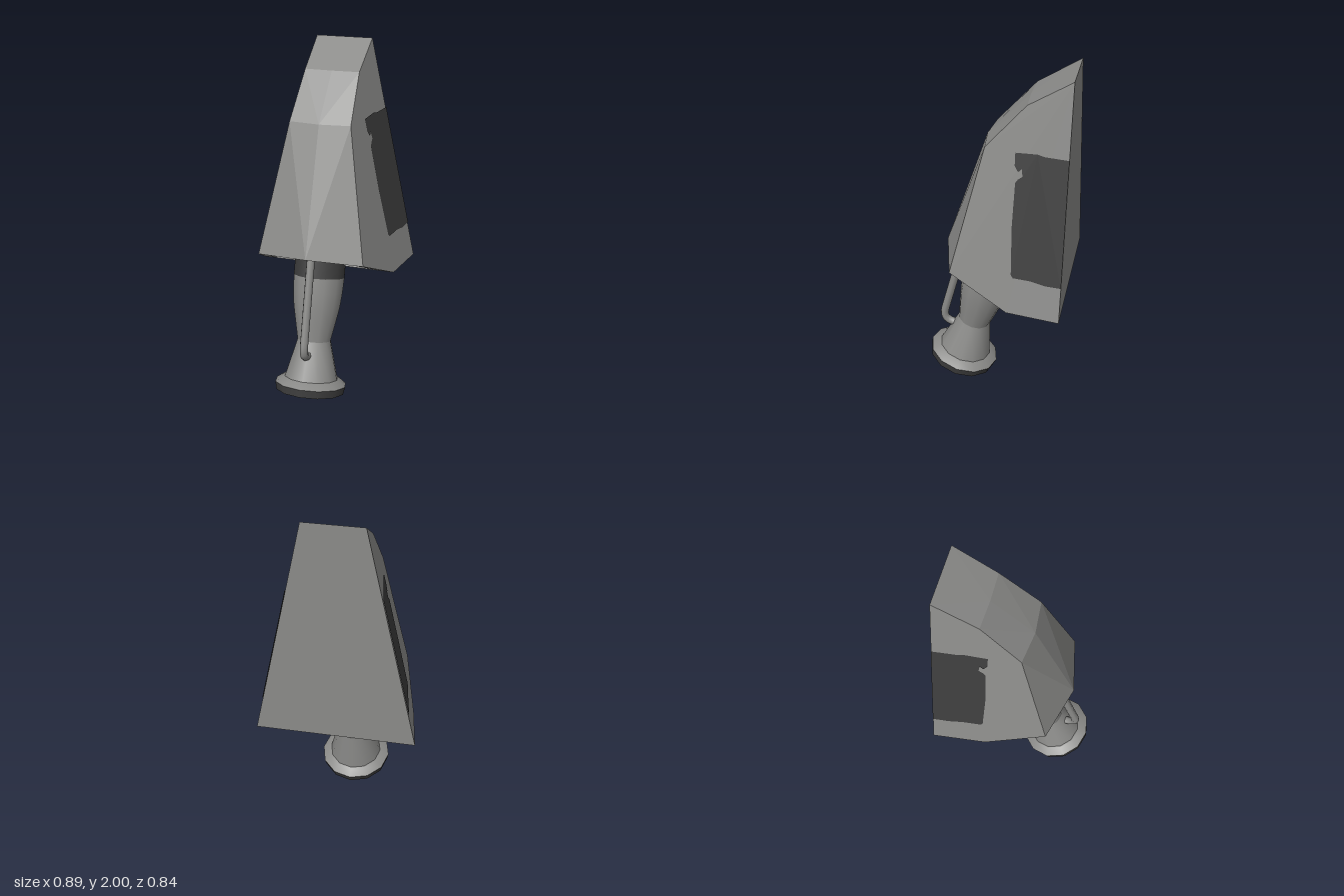
import * as THREE from 'three';

const grey = new THREE.MeshStandardMaterial({ color: 0x8a8a88 });
grey.name = 'metal grey';
const dark = new THREE.MeshStandardMaterial({ color: 0x3c3c3c, side: THREE.DoubleSide });
dark.name = 'dark rubber';

const V = (x, y, z) => new THREE.Vector3(x, y, z);
// slanted side plane of the housing
const sideX = (y, z) => 0.165 + 0.217 * (2 - y) - 0.165 * (z + 0.42);
const side = (y, z, s) => V(s * sideX(y, z), y, z);

// Flat-shaded mesh from convex faces, each wound away from (or towards) a reference point
function facetMesh(name, faces, ref, sign, material) {
  const pos = [];
  for (const f of faces) {
    for (let i = 1; i < f.length - 1; i++) {
      const [a, b, c] = [f[0], f[i], f[i + 1]];
      const n = b.clone().sub(a).cross(c.clone().sub(a));
      const out = n.dot(a.clone().sub(ref)) * sign > 0;
      for (const p of out ? [a, b, c] : [a, c, b]) pos.push(p.x, p.y, p.z);
    }
  }
  const g = new THREE.BufferGeometry();
  g.setAttribute('position', new THREE.Float32BufferAttribute(pos, 3));
  g.computeVertexNormals();
  const m = new THREE.Mesh(g, material);
  m.name = name;
  return m;
}

function createHousing() {
  const group = new THREE.Group();
  group.name = 'housing';
  // [y, z] of the front strip's edge and of its centre line, top to bottom
  const edge = [[2, -0.42], [1.85, -0.18], [1.6, 0.04], [0.865, 0.22]];
  const mid = [[2, -0.42], [1.85, -0.175], [1.6, 0.06], [0.895, 0.3]];
  const bend = [0.705, -0.12], back = [0.71, -0.42];
  const faces = [];
  for (const s of [-1, 1]) {
    for (let i = 0; i < 3; i++) {
      const a = side(...edge[i], s), b = side(...edge[i + 1], s);
      const c = V(0, ...mid[i + 1]), d = V(0, ...mid[i]);
      faces.push(i ? [a, b, c, d] : [a, b, c], [a, c, d]);
    }
    faces.push([...edge, bend, back].map(p => side(...p, s)));
  }
  // back wall and flat rear part of the underside
  faces.push([side(...edge[0], -1), side(...edge[0], 1), side(...back, 1), side(...back, -1)]);
  faces.push([side(...back, -1), side(...back, 1), side(...bend, 1), side(...bend, -1)]);

  // sloping underside: rim around a recessed opening
  const outer = [side(...bend, -1), side(...edge[3], -1), V(0, ...mid[3]), side(...edge[3], 1), side(...bend, 1)];
  const inner = [V(-0.315, 0.719, -0.09), V(-0.245, 0.858, 0.205), V(0, 0.88, 0.265),
    V(0.245, 0.858, 0.205), V(0.315, 0.719, -0.09)];
  const top = inner.map(p => p.clone().add(V(0, 0.117, -0.055)));
  const recess = [top];
  for (let i = 0; i < 5; i++) {
    const j = (i + 1) % 5;
    faces.push([outer[i], outer[j], inner[j], inner[i]]);
    recess.push([inner[i], inner[j], top[j], top[i]]);
  }
  group.add(facetMesh('housingShell', faces, V(0, 1.2, -0.15), 1, grey));
  group.add(facetMesh('housingRecess', recess, V(0, 0.85, 0.04), -1, grey));

  // dark patches with worn edges, as [z, y]
  const outline = [[-0.42, 1.605], [-0.29, 1.603], [-0.25, 1.61], [-0.13, 1.6], [-0.13, 1.53],
    [-0.15, 1.5], [-0.17, 1.52], [-0.175, 1.48], [-0.15, 1.46], [-0.137, 1.44], [-0.13, 1.2],
    [-0.138, 0.93], [-0.15, 0.915], [-0.25, 0.918], [-0.33, 0.908], [-0.42, 0.912]];
  for (const s of [-1, 1]) {
    const g = new THREE.ShapeGeometry(new THREE.Shape(outline.map(p => new THREE.Vector2(...p))));
    const p = g.attributes.position;
    for (let i = 0; i < p.count; i++) {
      const z = p.getX(i), y = p.getY(i);
      p.setXYZ(i, s * (sideX(y, z) + 0.004), y, z);
    }
    // turn the mirrored patch so both face outwards
    if (s > 0) g.index.array.reverse();
    g.computeVertexNormals();
    const m = new THREE.Mesh(g, dark);
    m.name = s > 0 ? 'leftPatch' : 'rightPatch';
    group.add(m);
  }
  return group;
}

function createNozzle() {
  const group = new THREE.Group();
  group.name = 'nozzle';
  const lathe = (name, pts, material) => {
    const m = new THREE.Mesh(new THREE.LatheGeometry(pts.map(p => new THREE.Vector2(...p)), 12), material);
    m.name = name;
    group.add(m);
  };
  // [radius, height along the tilted axis]
  lathe('mouthInside', [[0, 0.09], [0.115, 0.09], [0.15, 0]], dark);
  lathe('mouthLip', [[0.15, 0], [0.2, 0]], dark);
  lathe('mouthRing', [[0.2, 0], [0.209, 0.045]], dark);
  lathe('ringChamfer', [[0.209, 0.045], [0.165, 0.078], [0.15, 0.078]], grey);
  lathe('bell', [[0.156, 0.078], [0.098, 0.3]], grey);
  lathe('grip', [[0.098, 0.3], [0.118, 0.4], [0.137, 0.5], [0.146, 0.59], [0.15, 0.675]], grey);
  lathe('neckBand', [[0.15, 0.675], [0.15, 0.91]], dark);
  lathe('collar', [[0.145, 0.8], [0.2, 0.8], [0.2, 0.835], [0.145, 0.835]], grey);
  group.position.set(0, 0.053, 0.228);
  group.rotation.x = -0.266;
  return group;
}

function createLever() {
  // thin bar hooked into the bell
  const path = new THREE.CurvePath();
  path.add(new THREE.LineCurve3(V(0, 0.93, 0.185), V(0, 0.39, 0.33)));
  path.add(new THREE.CubicBezierCurve3(V(0, 0.39, 0.33), V(0, 0.33, 0.346), V(0, 0.3, 0.32), V(0, 0.295, 0.265)));
  const m = new THREE.Mesh(new THREE.TubeGeometry(path, 32, 0.024, 8), grey);
  m.name = 'lever';
  return m;
}

export function createModel() {
  const model = new THREE.Group();
  model.name = 'model';
  model.add(createHousing(), createNozzle(), createLever());
  return model;
}
